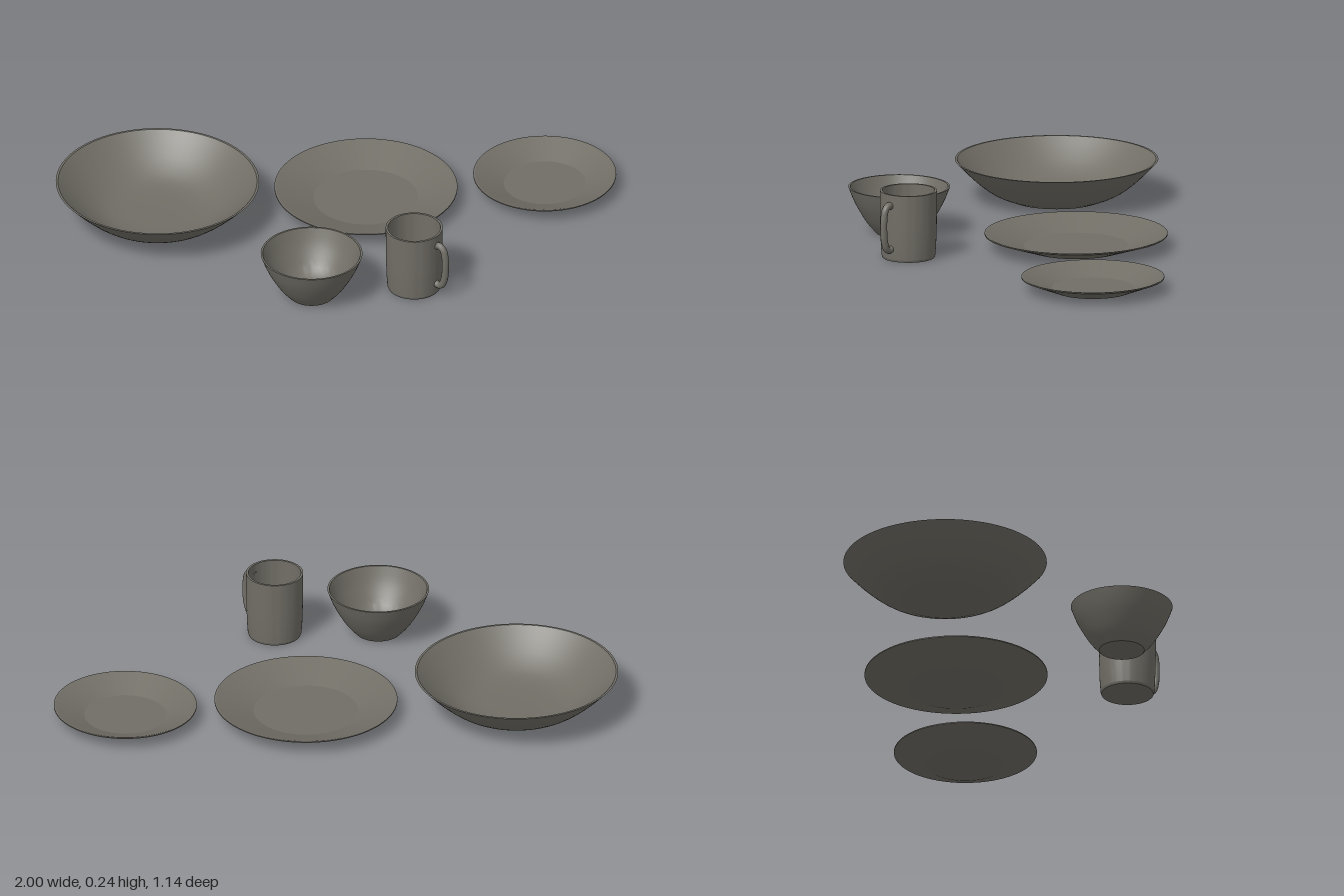
import * as THREE from 'three';
import { toCreasedNormals } from 'three/addons/utils/BufferGeometryUtils.js';

const vec = ([x, y]) => new THREE.Vector2(x, y);
const curve = (points, n = 10) => new THREE.SplineCurve(points.map(vec)).getPoints(n);

export function createModel() {
  const model = new THREE.Group();
  const stoneware = new THREE.MeshStandardMaterial({ color: 0x716e66 });
  stoneware.name = 'warm grey stoneware';

  // Turned vessel: outer profile from foot to rim, inner profile from rim to floor
  function turned(name, x, z, outer, inner) {
    const profile = [new THREE.Vector2(0, 0), ...outer, ...inner];
    const geometry = toCreasedNormals(new THREE.LatheGeometry(profile, 72), 0.27);
    const mesh = new THREE.Mesh(geometry, stoneware);
    mesh.name = name;
    mesh.position.set(x, 0, z);
    return mesh;
  }

  // Flat plate with a shallow sloping rim
  function plate(name, x, r, h, foot, well) {
    const outer = [[foot, 0], [r, h - 0.004], [r, h]].map(vec);
    const inner = [[r - 0.006, h], [well, 0.01], [0, 0.01]].map(vec);
    return turned(name, x, -0.212, outer, inner);
  }

  // Serving bowl
  model.add(turned('servingBowl', -0.64, -0.212,
    curve([[0.16, 0], [0.215, 0.022], [0.26, 0.05], [0.312, 0.095], [0.36, 0.145]]),
    curve([[0.352, 0.145], [0.305, 0.1], [0.25, 0.056], [0.19, 0.024], [0.12, 0.012], [0, 0.01]], 16)));

  // Dinner and side plates
  model.add(plate('dinnerPlate', 0.106, 0.324, 0.055, 0.172, 0.185));
  model.add(plate('sidePlate', 0.746, 0.253, 0.05, 0.137, 0.145));

  // Small bowl
  model.add(turned('smallBowl', -0.181, 0.39,
    curve([[0.08, 0], [0.111, 0.035], [0.137, 0.075], [0.161, 0.12], [0.18, 0.169]]),
    curve([[0.173, 0.169], [0.153, 0.12], [0.129, 0.078], [0.1, 0.039], [0.06, 0.015], [0, 0.01]], 16)));

  // Mug body
  const mug = new THREE.Group();
  mug.name = 'mug';
  mug.position.set(0.186, 0, 0.391);
  mug.add(turned('mugBody', 0, 0,
    [[0.092, 0], [0.095, 0.008], [0.098, 0.05], [0.1, 0.12], [0.101, 0.243]].map(vec),
    [[0.093, 0.243], [0.092, 0.12], [0.09, 0.05], [0.087, 0.02], [0.08, 0.011], [0, 0.01]].map(vec)));

  // Mug handle, turned halfway between front and left
  const path = new THREE.CatmullRomCurve3([
    [0.094, 0.2], [0.11, 0.206], [0.128, 0.193], [0.136, 0.16], [0.137, 0.12],
    [0.133, 0.08], [0.122, 0.051], [0.108, 0.043], [0.093, 0.047],
  ].map(([x, y]) => new THREE.Vector3(x, y, 0)));
  const handle = new THREE.Mesh(new THREE.TubeGeometry(path, 40, 0.0125, 12), stoneware);
  handle.name = 'mugHandle';
  handle.rotation.y = -Math.PI / 4;
  mug.add(handle);
  model.add(mug);

  return model;
}
